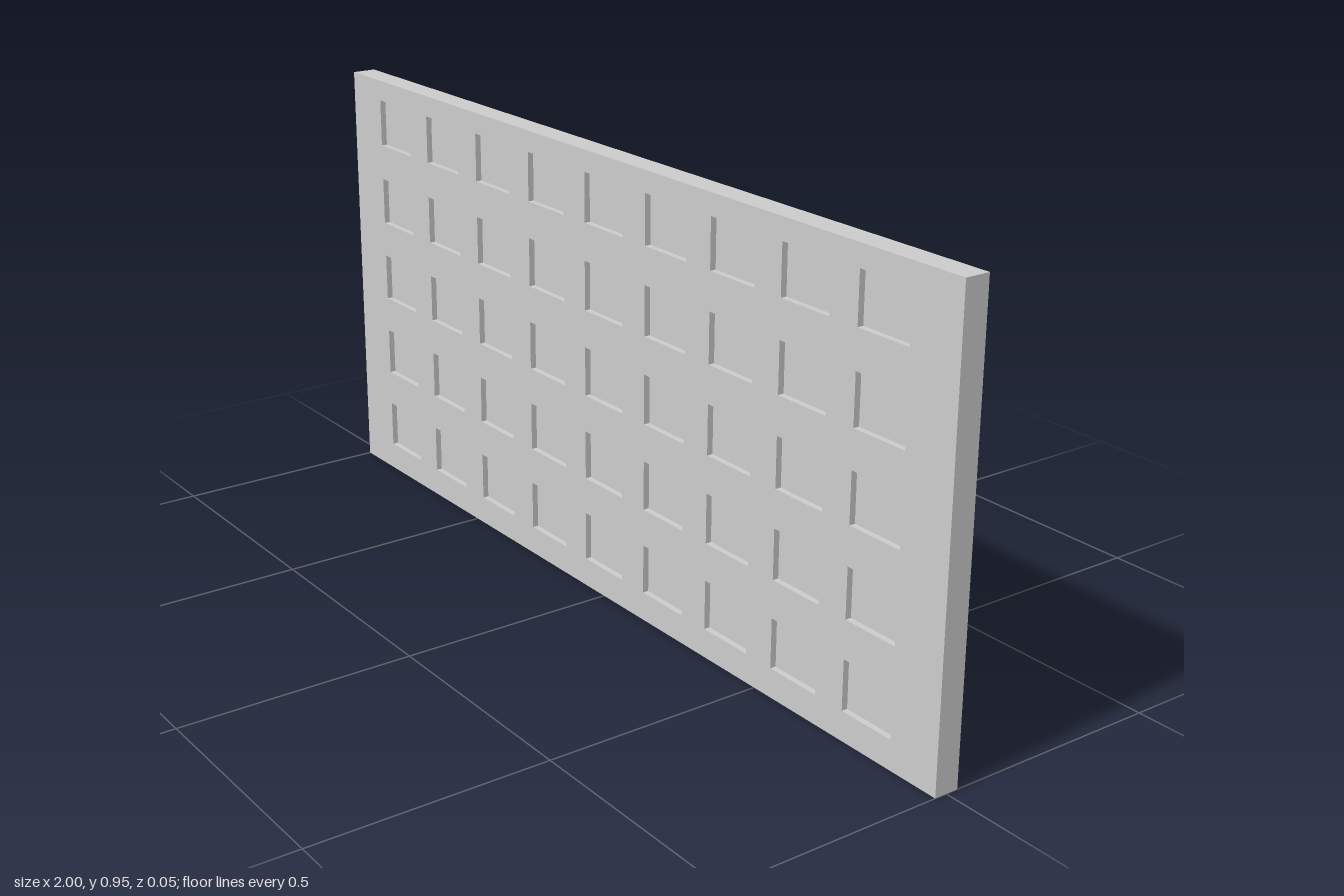
import * as THREE from 'three';

const WIDTH = 2, HEIGHT = 0.95, THICK = 0.053;
const COLS = 9, ROWS = 5, PITCH_X = 0.204, PITCH_Y = 0.1845;
const POCKET_W = 0.13, POCKET_H = 0.105, POCKET_D = 0.013, FIRST_Y = 0.114;

// Box without its +z face; inward = true turns the faces to the inside
function openBox(w, h, d, inward = false) {
  const g = new THREE.BoxGeometry(w, h, d);
  const index = Array.from(g.index.array);
  index.splice(24, 6);
  if (inward) {
    index.reverse();
    const n = g.attributes.normal;
    for (let i = 0; i < n.count; i++) n.setXYZ(i, -n.getX(i), -n.getY(i), -n.getZ(i));
  }
  g.setIndex(index);
  g.clearGroups();
  return g;
}

// Rectangle outline around a centre
function rectangle(path, cx, cy, w, h) {
  path.moveTo(cx - w / 2, cy - h / 2);
  path.lineTo(cx + w / 2, cy - h / 2);
  path.lineTo(cx + w / 2, cy + h / 2);
  path.lineTo(cx - w / 2, cy + h / 2);
  path.closePath();
  return path;
}

export function createModel() {
  const model = new THREE.Group();
  model.name = 'panel';
  const material = new THREE.MeshStandardMaterial({ color: 0xcccccc });
  const add = (parent, name, geometry, x, y, z) => {
    const mesh = new THREE.Mesh(geometry, material);
    mesh.name = name;
    mesh.position.set(x, y, z);
    parent.add(mesh);
  };

  // Back and edges of the slab
  add(model, 'slabBody', openBox(WIDTH, HEIGHT, THICK), 0, HEIGHT / 2, 0);

  // Front face pierced by a grid, with a shallow pocket behind each opening
  const face = rectangle(new THREE.Shape(), 0, HEIGHT / 2, WIDTH, HEIGHT);
  const pockets = new THREE.Group();
  pockets.name = 'pockets';
  model.add(pockets);
  const pocket = openBox(POCKET_W, POCKET_H, POCKET_D, true);
  for (let row = 0; row < ROWS; row++) {
    for (let col = 0; col < COLS; col++) {
      const x = (col - (COLS - 1) / 2) * PITCH_X;
      const y = FIRST_Y + row * PITCH_Y;
      face.holes.push(rectangle(new THREE.Path(), x, y, POCKET_W, POCKET_H));
      add(pockets, 'pocket', pocket, x, y, THICK / 2 - POCKET_D / 2);
    }
  }
  add(model, 'frontFace', new THREE.ShapeGeometry(face), 0, 0, THICK / 2);

  return model;
}
